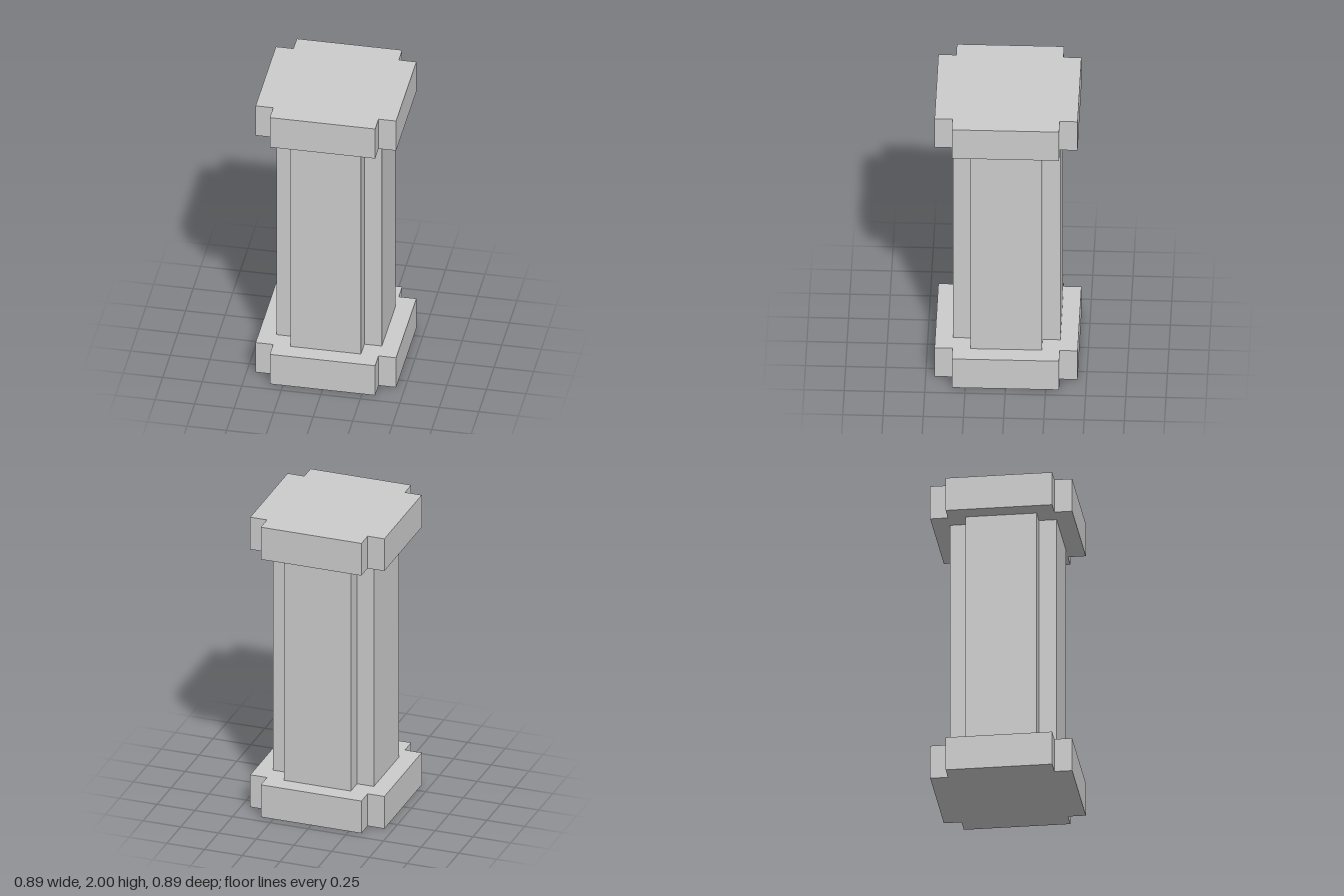
import * as THREE from 'three';

const material = new THREE.MeshStandardMaterial({ color: 0xcccccc, flatShading: true });

// Square prism with square notches cut from its four corners
function notchedBlock(name, outer, inner, y, height) {
  const points = [];
  for (let i = 0; i < 4; i++) {
    for (const [x, z] of [[outer, -inner], [outer, inner], [inner, inner]]) {
      points.push(new THREE.Vector2(x, z).rotateAround(new THREE.Vector2(), i * Math.PI / 2));
    }
  }
  const geometry = new THREE.ExtrudeGeometry(new THREE.Shape(points), { depth: height, bevelEnabled: false });
  geometry.rotateX(-Math.PI / 2);
  const mesh = new THREE.Mesh(geometry, material);
  mesh.name = name;
  mesh.position.y = y;
  return mesh;
}

export function createModel() {
  const pillar = new THREE.Group();
  pillar.name = 'pillar';
  const u = 1 / 9; // notch size; every dimension is a multiple of it
  pillar.add(
    notchedBlock('base', 4 * u, 3 * u, 0, 2 * u),
    notchedBlock('shaft', 3 * u, 2 * u, 2 * u, 14 * u),
    notchedBlock('capital', 4 * u, 3 * u, 16 * u, 2 * u),
  );
  return pillar;
}
